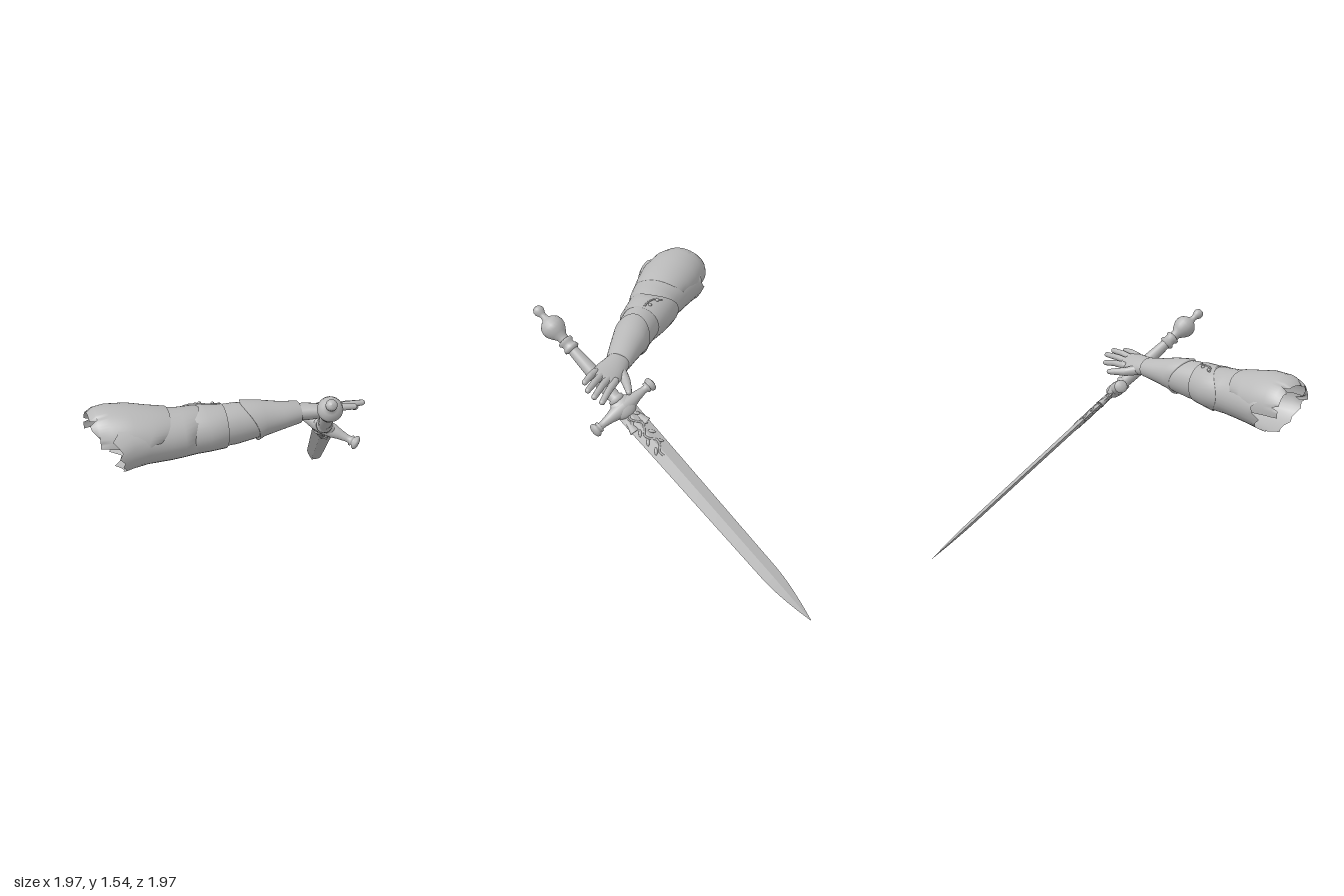
import * as THREE from 'three';

const steel = new THREE.MeshStandardMaterial({ color: 0xb9b9b9, side: THREE.DoubleSide });
steel.name = 'plain grey';
const V = (x, y, z) => new THREE.Vector3(x, y, z);

function add(parent, name, geo, pos) {
  const m = new THREE.Mesh(geo, steel);
  m.name = name;
  if (pos) m.position.copy(pos);
  parent.add(m);
  return m;
}

// Shell along x. Section: [x, yMin, yMax, zMin, zMax]; angle 0 is the top, +PI/2 the front.
function shell(sections, { a0 = 0, a1 = Math.PI * 2, n = 32, dx = () => 0, roll = 0 } = {}) {
  const closed = a1 - a0 > 6.28, cols = closed ? n : n + 1, pos = [], idx = [];
  sections.forEach(([x, yA, yB, zA, zB], i) => {
    for (let j = 0; j < cols; j++) {
      const a = a0 + (a1 - a0) * j / n;
      const y = (yB - yA) / 2 * Math.cos(a), z = (zB - zA) / 2 * Math.sin(a);
      pos.push(x + dx(i / (sections.length - 1), a, j),
        (yA + yB) / 2 + y * Math.cos(roll) + z * Math.sin(roll),
        (zA + zB) / 2 + z * Math.cos(roll) - y * Math.sin(roll));
    }
  });
  for (let i = 0; i < sections.length - 1; i++) for (let j = 0; j < n; j++) {
    const k = (j + 1) % cols, p = i * cols, q = p + cols;
    idx.push(p + j, p + k, q + j, p + k, q + k, q + j);
  }
  const g = new THREE.BufferGeometry();
  g.setAttribute('position', new THREE.Float32BufferAttribute(pos, 3));
  g.setIndex(idx);
  g.computeVertexNormals();
  return g;
}

// Tapering digit with rounded joints
function digit(parent, name, pts, r0, r1) {
  const g = new THREE.Group();
  g.name = name;
  pts.forEach((p, i) => {
    const r = r0 + (r1 - r0) * i / (pts.length - 1);
    add(g, 'joint', new THREE.SphereGeometry(r, 14, 10), p);
    if (!i) return;
    const q = pts[i - 1], rq = r0 + (r1 - r0) * (i - 1) / (pts.length - 1);
    const m = add(g, 'bone', new THREE.CylinderGeometry(r, rq, p.distanceTo(q), 14, 1, true),
      p.clone().add(q).multiplyScalar(0.5));
    m.quaternion.setFromUnitVectors(V(0, 1, 0), p.clone().sub(q).normalize());
  });
  parent.add(g);
}

function createArm() {
  const arm = new THREE.Group();
  arm.name = 'arm';

  // Torn sleeve of the upper arm
  const torn = [0, -.03, -.06, 0, -.02, -.05, -.02, 0, -.02, .01, 0, .02, .03, .01, .03, .02,
    -.01, .03, .05, -.02, .02, .03, .01, -.03, .02, .04, .01, -.05, -.12, -.16, -.06, -.02];
  add(arm, 'upperSleeve', shell([
    [-.81, 1.03, 1.37, .22, .695], [-.74, 1.035, 1.375, .235, .68], [-.64, 1.045, 1.37, .255, .655],
    [-.5, 1.05, 1.36, .285, .645], [-.42, 1.055, 1.35, .295, .635], [-.3, 1.06, 1.345, .29, .62],
    [-.3, 1.09, 1.32, .32, .59],
  ], { dx: (u, a, j) => u === 0 ? torn[j] : u > .8 ? -.06 * Math.sin(a) ** 2 : 0 }));

  // Raised shoulder plate, longest over the top
  add(arm, 'shoulderPlate', shell([
    [-.96, 1.08, 1.37, .25, .57], [-.92, 1.06, 1.4, .24, .6], [-.85, 1.05, 1.415, .235, .63],
    [-.72, 1.04, 1.41, .24, .655], [-.6, 1.04, 1.385, .26, .655], [-.49, 1.045, 1.365, .275, .65],
    [-.49, 1.055, 1.352, .29, .635],
  ], {
    a0: -1.75, a1: 1.55,
    dx: (u, a, j) => u === 0 ? (j % 9 === 4 ? .045 : 0) + (a > .8 ? .11 * (a - .8) : 0)
      : -.22 * u ** 3 * Math.min(1, Math.abs(a) / 1.55) ** 3,
  }));

  // Elbow guard, forearm cloth and bracer
  add(arm, 'elbowGuard', shell([
    [-.36, 1.07, 1.335, .305, .605], [-.36, 1.055, 1.353, .283, .617], [-.26, 1.06, 1.345, .3, .615],
    [-.15, 1.07, 1.343, .325, .608], [-.15, 1.09, 1.325, .345, .585],
  ], { dx: (u, a) => u < .4 ? .06 * Math.cos(2 * a) : 0 }));
  add(arm, 'forearmSleeve', shell([
    [-.2, 1.08, 1.335, .335, .595], [-.08, 1.082, 1.338, .337, .588], [.05, 1.1, 1.325, .342, .57],
    [.16, 1.12, 1.3, .35, .555],
  ]));
  add(arm, 'bracer', shell([
    [.01, 1.1, 1.33, .35, .57], [.01, 1.085, 1.348, .334, .583], [.1, 1.105, 1.328, .342, .57],
    [.22, 1.13, 1.3, .352, .548], [.34, 1.15, 1.282, .358, .523], [.34, 1.165, 1.268, .372, .508],
  ], { dx: (u, a) => u < .3 ? -.05 * Math.cos(a) + .03 * Math.sin(a) ** 2 : 0 }));

  // Strap with two rivets above the elbow
  const strap = new THREE.CatmullRomCurve3([V(-.3, 1.325, .36), V(-.27, 1.34, .405), V(-.22, 1.342, .43), V(-.16, 1.342, .435)]);
  add(arm, 'elbowStrap', new THREE.TubeGeometry(strap, 16, .006, 6));
  for (const p of [V(-.275, 1.335, .385), V(-.2, 1.335, .41)]) add(arm, 'rivet', new THREE.SphereGeometry(.012, 10, 8), p);

  // Hand
  add(arm, 'palm', shell([
    [.32, 1.165, 1.27, .37, .51], [.39, 1.16, 1.27, .365, .525], [.46, 1.165, 1.26, .365, .545],
    [.52, 1.18, 1.25, .37, .55], [.57, 1.19, 1.245, .375, .548], [.59, 1.205, 1.23, .395, .53],
  ], { roll: .38, n: 24 }));
  const tips = [[.67, 1.252, .537], [.74, 1.247, .49], [.76, 1.222, .443], [.735, 1.175, .405]];
  tips.forEach(([x, y, z], i) => {
    const root = V(.53, 1.243 - .015 * i, .522 - .042 * i), tip = V(x, y, z);
    const mid = root.clone().lerp(tip, .5).add(V(0, .007, 0));
    digit(arm, 'finger', [root, mid, tip], .025, .018);
  });
  digit(arm, 'thumb', [V(.41, 1.19, .4), V(.47, 1.175, .35), V(.53, 1.17, .315), V(.575, 1.165, .292)], .036, .018);
  return arm;
}

function createSword() {
  const sword = new THREE.Group();
  sword.name = 'sword';
  // Local y runs from pommel to tip, local x along the guard
  const start = V(.342, 1.525, .975), end = V(.996, .003, -.985), L = start.distanceTo(end);
  const Y = end.clone().sub(start).normalize();
  const X = V(.35, -.16, .255);
  X.addScaledVector(Y, -X.dot(Y)).normalize();
  sword.quaternion.setFromRotationMatrix(new THREE.Matrix4().makeBasis(X, Y, X.clone().cross(Y)));
  sword.position.copy(start);
  const lathe = (pts) => new THREE.LatheGeometry(pts.map(([r, y]) => new THREE.Vector2(r, y)), 24);

  add(sword, 'pommel', lathe([[0, 0], [.022, .006], [.034, .025], [.034, .045], [.024, .062], [.02, .075],
    [.024, .1], [.045, .112], [.068, .135], [.076, .165], [.072, .195], [.055, .225], [.036, .25], [.034, .275]]));
  add(sword, 'gripCollar', lathe([[.034, .275], [.048, .28], [.05, .295], [.04, .305], [.04, .325],
    [.05, .335], [.05, .35], [.036, .36]]));
  add(sword, 'grip', lathe([[.034, .35], [.038, .42], [.043, .52], [.045, .62], [.042, .7], [.04, .75],
    [.05, .755], [.052, .775], [.042, .785]]));

  // Cross guard with a hub, two arms and end knobs
  const hub = add(sword, 'guardHub', new THREE.SphereGeometry(1, 24, 16), V(0, .83, 0));
  hub.scale.set(.085, .075, .048);
  for (const s of [-1, 1]) {
    const arm = add(sword, 'guardArm', lathe([[.05, 0], [.046, .06], [.033, .11], [.024, .16], [.023, .185],
      [.034, .19], [.034, .2], [.026, .205], [.04, .212], [.045, .225], [.04, .238], [.02, .246], [0, .247]]), V(0, .83, 0));
    arm.rotation.z = -s * Math.PI / 2;
    const leaf = add(sword, 'guardLeaf', new THREE.ConeGeometry(.032, .15, 10), V(s * .04, .92, 0));
    leaf.scale.z = .8;
    leaf.rotation.z = Math.PI - s * .12;
  }

  // Blade with a diamond section
  const b0 = .84, bl = L - b0;
  let blade = new THREE.CylinderGeometry(1, 1, bl, 4, 40);
  const p = blade.attributes.position;
  for (let i = 0; i < p.count; i++) {
    const v = p.getY(i) / bl + .5, k = Math.max(0, (v - .78) / .22);
    const f = (1 - .25 * v) * (1 - .97 * k ** 1.7);
    p.setXYZ(i, p.getX(i) * .071 * f, b0 + v * bl, p.getZ(i) * .02 * f);
  }
  blade = blade.toNonIndexed();
  blade.computeVertexNormals();
  add(sword, 'blade', blade);

  // Vine relief at the root of the blade, on both faces
  for (const side of [-1, 1]) {
    const pts = [];
    for (let i = 0; i <= 10; i++) pts.push(V(.022 * Math.sin(i * 1.5), .88 + i * .034, side * .016));
    add(sword, 'vineStem', new THREE.TubeGeometry(new THREE.CatmullRomCurve3(pts), 60, .007, 6));
    for (let i = 0; i < 8; i++) {
      const s = i % 2 ? 1 : -1;
      const leaf = add(sword, 'vineLeaf', new THREE.SphereGeometry(1, 10, 6), V(s * .032, .91 + i * .037, side * .011));
      leaf.scale.set(.01, .026, .008);
      leaf.rotation.z = -s * .7;
    }
  }
  return sword;
}

export function createModel() {
  const model = new THREE.Group();
  model.name = 'armWithSword';
  model.add(createArm(), createSword());
  return model;
}
